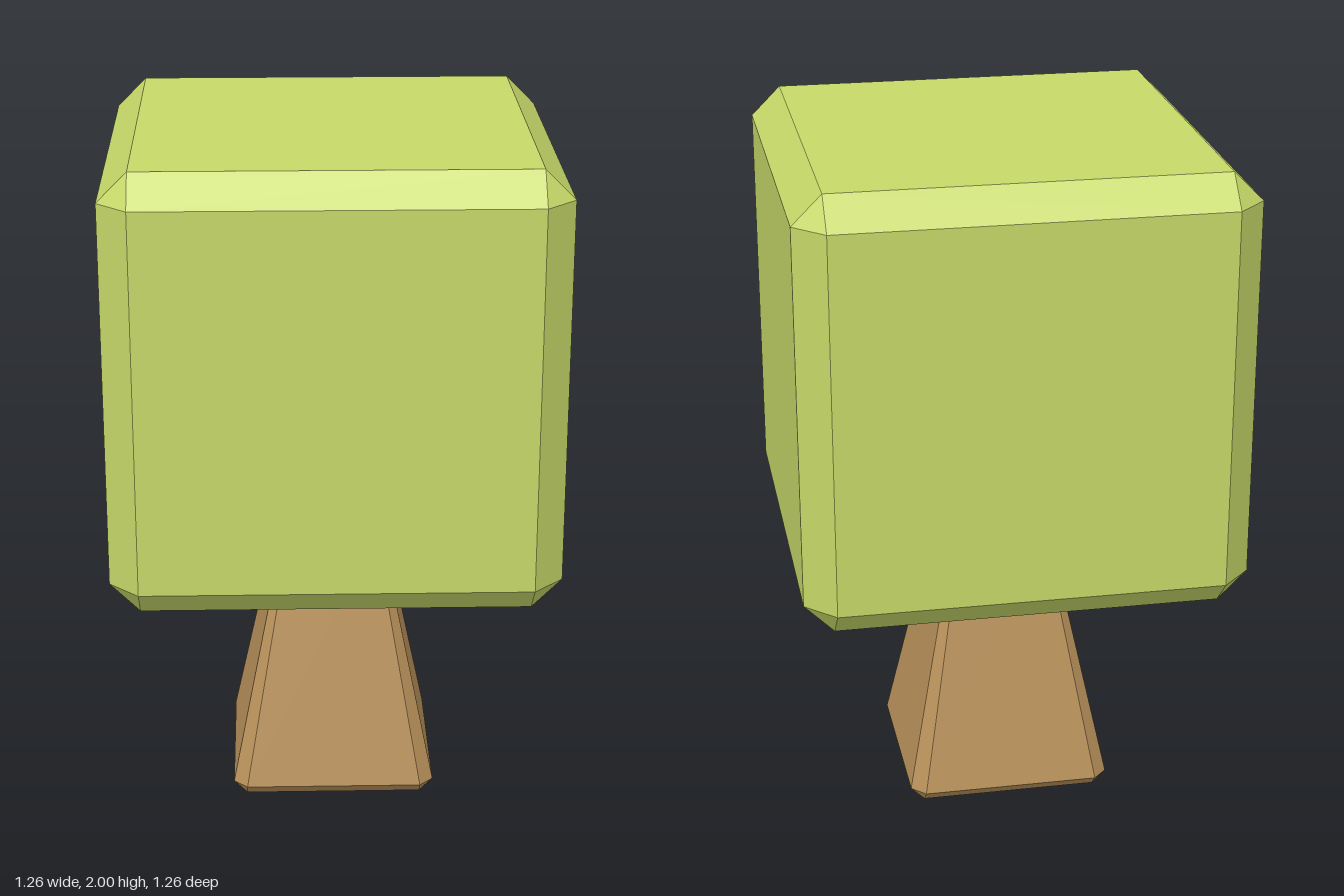
import * as THREE from 'three';
import { ConvexGeometry } from 'three/addons/geometries/ConvexGeometry.js';

// Square cross-section at height y; a flat half-width below the outer one cuts the corners.
function ring(y, outer, flat = outer) {
  const points = [];
  for (const sx of [-1, 1]) {
    for (const sz of [-1, 1]) {
      points.push(new THREE.Vector3(sx * outer, y, sz * flat));
      if (flat !== outer) points.push(new THREE.Vector3(sx * flat, y, sz * outer));
    }
  }
  return points;
}

// Faceted convex solid through a stack of cross-sections.
function bevelledBlock(name, material, rings) {
  const mesh = new THREE.Mesh(new ConvexGeometry(rings.flatMap((r) => ring(...r))), material);
  mesh.name = name;
  return mesh;
}

export function createModel() {
  const leafGreen = new THREE.MeshStandardMaterial({ color: 0xc6d868 });
  leafGreen.name = 'leaf green';
  const barkBrown = new THREE.MeshStandardMaterial({ color: 0xba925b });
  barkBrown.name = 'bark brown';

  const tree = new THREE.Group();
  tree.name = 'tree';

  // Tapered trunk with a bevelled foot, running a little way into the foliage
  tree.add(bevelledBlock('trunk', barkBrown, [
    [0, 0.258],
    [0.04, 0.298, 0.258],
    [0.8, 0.143, 0.126],
  ]));

  // Cube of foliage with chamfered edges and corners
  tree.add(bevelledBlock('foliage', leafGreen, [
    [0.743, 0.545],
    [0.827, 0.629, 0.545],
    [1.916, 0.629, 0.545],
    [2, 0.545],
  ]));

  return tree;
}
